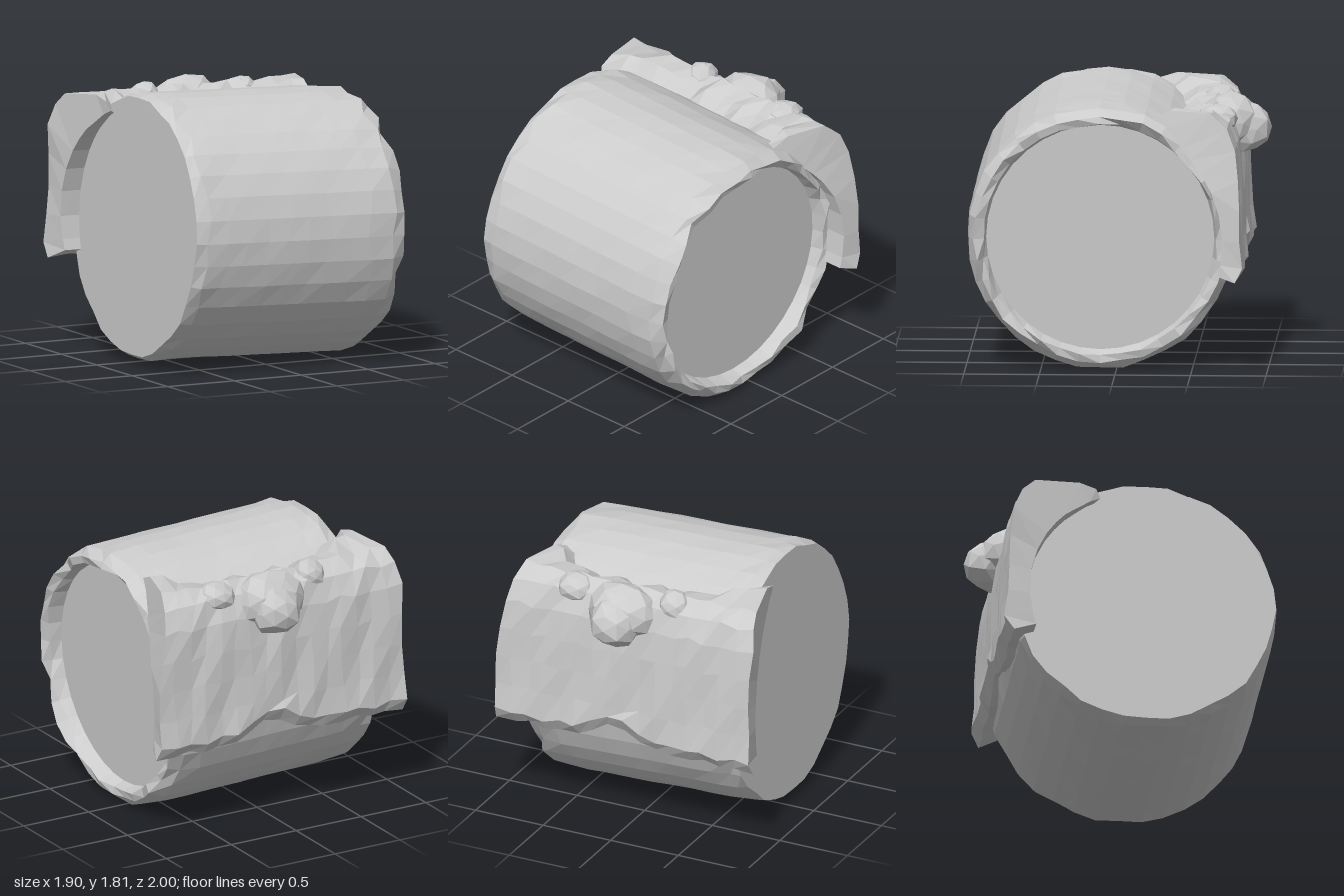
import * as THREE from 'three';

const MAT = new THREE.MeshStandardMaterial({ color: 0xcccccc, flatShading: true, side: THREE.DoubleSide });
const CY = 0.915, CZ = 0.11, R = 0.883, TILT = 0.035;
const { clamp } = THREE.MathUtils;

// repeatable roughness, equal for equal positions
function rough(x, y, z, k) {
  return 0.5 * (Math.sin(x * 37 + y * 53 + z * 41 + k * 2.1) + Math.sin(x * 23 - y * 31 + z * 61 + k * 5.3));
}

function part(name, geometry) {
  const mesh = new THREE.Mesh(geometry, MAT);
  mesh.name = name;
  return mesh;
}

// drum lying along x: flat end at -x, chipped rim around a sunken disc at +x
function drum() {
  const profile = [[0, -0.77], [0.86, -0.77], [R, -0.7]];
  for (let i = 1; i < 9; i++) profile.push([R, -0.7 + i * 0.155]);
  profile.push([0.875, 0.71], [0.83, 0.79], [0.775, 0.78], [0.755, 0.69], [0, 0.69]);
  const g = new THREE.LatheGeometry(profile.map(p => new THREE.Vector2(...p)), 36);
  const p = g.attributes.position;
  for (let i = 0; i < p.count; i++) {
    const x = p.getX(i), y = p.getY(i), z = p.getZ(i), r = Math.hypot(x, z);
    if (r < 0.765) continue;
    const edge = y > 0.7 || y < -0.69;
    const s = 1 + rough(x, y, z, 0) * (edge ? 0.016 : 0.004);
    const dy = y < -0.75 ? 0 : rough(x, y, z, 1) * 0.035;
    p.setXYZ(i, x * s, y + dy, z * s);
  }
  g.rotateZ(-Math.PI / 2 - TILT);
  g.translate(0, CY, CZ);
  return part('drum', g);
}

// crescent section of the back plate: outer points from the front lip to the lower hem
function section(x) {
  const cy = CY - TILT * x;
  const onDrum = z => cy + Math.sqrt(R * R - (z - CZ) ** 2);
  const ends = Math.min(1, Math.abs(x) / 0.85) ** 3;
  const zf = -0.41 + 0.18 * ends + 0.02 * rough(x, 0, 0, 3);
  const zg = zf - 0.11;
  const hem = 0.63 + 0.13 * Math.exp(-((x - 0.05) ** 2) / 0.03);
  const outer = [
    [zf, onDrum(zf) - 0.02], [zg, Math.min(1.77, onDrum(zg) + 0.15 - 0.04 * ends)],
    [-0.63, 1.73], [-0.74, 1.65], [-0.79, 1.5], [-0.81, 1.3], [-0.82, 1.1], [-0.83, 0.9],
    [-0.845, hem + 0.08], [-0.79, hem],
  ];
  // the inside follows the drum, clear of the sunken disc
  const r = x > 0 ? 0.815 : 0.79;
  const inner = outer.map(([z, y]) => {
    const a = Math.atan2(y - cy, z - CZ);
    return [CZ + r * Math.cos(a), cy + r * Math.sin(a)];
  });
  return [...outer, ...inner.reverse()];
}

function backPlate() {
  const stations = 17, pos = [], idx = [];
  let n = 0;
  for (let s = 0; s < stations; s++) {
    const u = s / (stations - 1) * 2 - 1;
    const loop = section(u * 0.85);
    n = loop.length;
    loop.forEach(([z, y], i) => {
      // the ends flare outward toward the back
      const flare = clamp((-z - 0.2) / 0.6, 0, 1);
      const high = u > 0 ? clamp((y - 1.25) / 0.45, 0, 1) * 0.08 : 0;
      const reach = 0.79 + 0.15 * flare - high;
      const j = i < n / 2 ? 0.02 : 0;
      pos.push(u * reach + j * rough(u, y, z, 4),
        y + j * rough(u, y, z, 5),
        z + j * 0.7 * rough(u, y, z, 6));
    });
  }
  const quad = (a, b, c, d) => idx.push(a, b, c, a, c, d);
  for (let s = 0; s < stations - 1; s++) {
    for (let i = 0; i < n; i++) {
      const k = (i + 1) % n, a = s * n, b = a + n;
      quad(a + i, b + i, b + k, a + k);
    }
  }
  // crescent end faces
  const e = (stations - 1) * n;
  for (let i = 0; i < n / 2 - 1; i++) {
    quad(i, i + 1, n - 2 - i, n - 1 - i);
    quad(e + n - 1 - i, e + n - 2 - i, e + i + 1, e + i);
  }
  const g = new THREE.BufferGeometry();
  g.setAttribute('position', new THREE.Float32BufferAttribute(pos, 3));
  g.setIndex(idx);
  g.computeVertexNormals();
  return part('backPlate', g);
}

// rough rounded lump
function lump(name, centre, size) {
  const g = new THREE.IcosahedronGeometry(1, 1);
  const p = g.attributes.position;
  for (let i = 0; i < p.count; i++) {
    const x = p.getX(i), y = p.getY(i), z = p.getZ(i);
    const s = 1 + 0.1 * rough(x * 0.2, y * 0.2, z * 0.2, 7);
    p.setXYZ(i, x * s, y * s, z * s);
  }
  g.scale(...size);
  g.translate(...centre);
  g.computeVertexNormals();
  return part(name, g);
}

export function createModel() {
  const group = new THREE.Group();
  group.name = 'drumWithBackPlate';
  group.add(drum(), backPlate());
  // knob on the back with a broad base, and low bumps beside it
  group.add(lump('knob', [0.06, 1.54, -0.81], [0.17, 0.18, 0.19]));
  group.add(lump('knobBase', [0.05, 1.59, -0.73], [0.25, 0.19, 0.18]));
  group.add(lump('leftBump', [0.42, 1.65, -0.66], [0.13, 0.1, 0.13]));
  group.add(lump('rightBump', [-0.3, 1.66, -0.65], [0.11, 0.11, 0.11]));
  return group;
}
